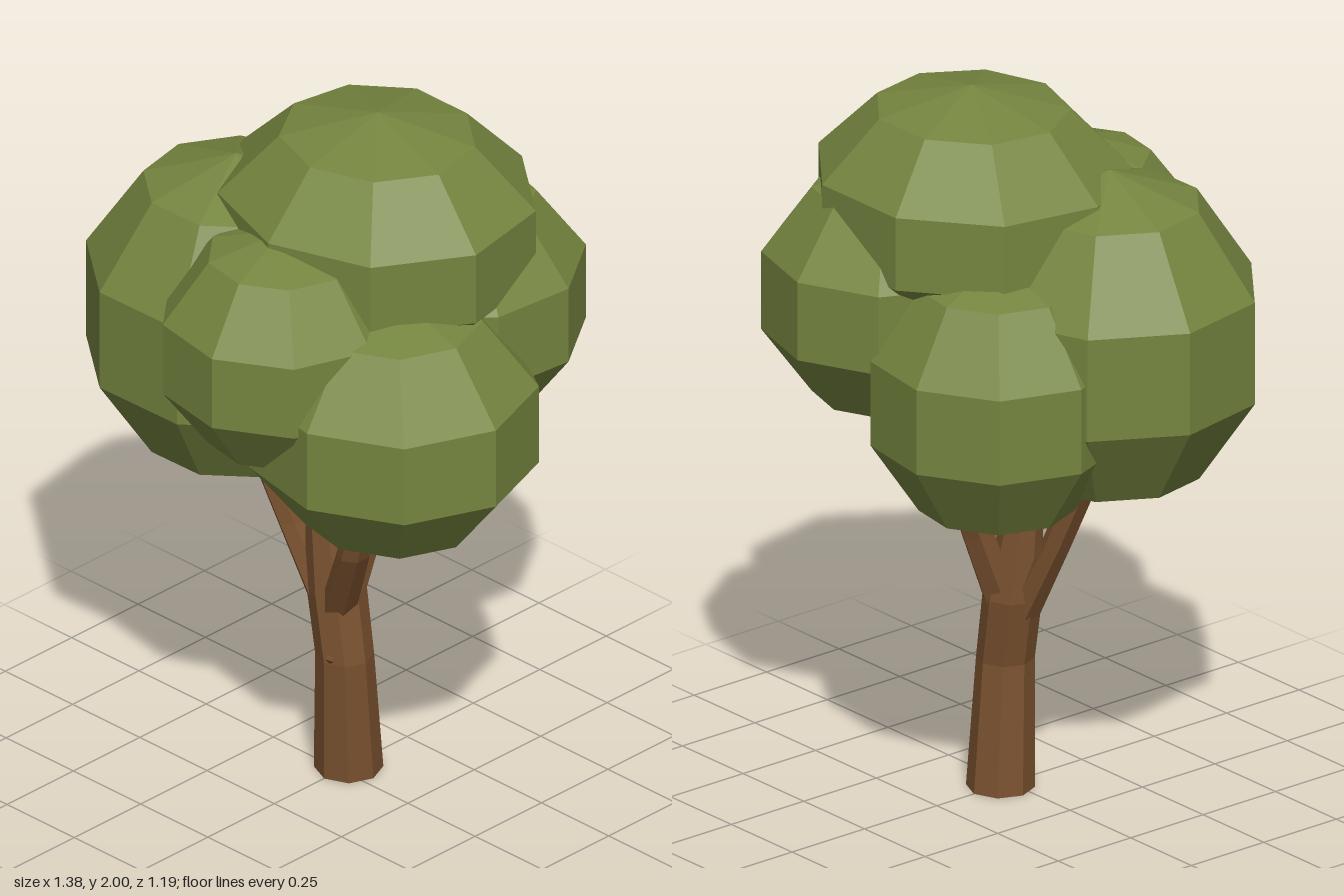
import * as THREE from 'three';

const foliageMat = new THREE.MeshStandardMaterial({ color: 0x75853f, flatShading: true });
foliageMat.name = 'leaf green';
const barkMat = new THREE.MeshStandardMaterial({ color: 0x79512f, flatShading: true });
barkMat.name = 'bark brown';

// Faceted leaf clump: centre, radii and the heading (degrees) of one of its nine corners
function clump(name, [x, y, z], [rx, ry, rz], corner) {
  const geo = new THREE.SphereGeometry(1, 9, 5);
  geo.rotateY(THREE.MathUtils.degToRad(180 - corner));
  geo.scale(rx, ry, rz);
  geo.translate(x, y, z);
  const mesh = new THREE.Mesh(geo, foliageMat);
  mesh.name = name;
  return mesh;
}

// Tapered, bent limb: each station is [x, y, z, radius], from bottom to top
function limb(name, stations, sides) {
  const rows = stations.length - 1;
  const geo = new THREE.CylinderGeometry(1, 1, 1, sides, rows);
  const pos = geo.attributes.position;
  for (let i = 0; i < pos.count; i++) {
    const [x, y, z, r] = stations[Math.round((pos.getY(i) + 0.5) * rows)];
    pos.setXYZ(i, x + pos.getX(i) * r, y, z + pos.getZ(i) * r);
  }
  geo.computeVertexNormals();
  const mesh = new THREE.Mesh(geo, barkMat);
  mesh.name = name;
  return mesh;
}

export function createModel() {
  const tree = new THREE.Group();
  tree.name = 'tree';

  // Crown
  const crown = new THREE.Group();
  crown.name = 'crown';
  crown.add(
    clump('topClump', [0.06, 1.665, -0.08], [0.465, 0.335, 0.435], 10),
    clump('frontClump', [0.05, 1.435, 0.27], [0.345, 0.34, 0.345], 80),
    clump('rightClump', [-0.28, 1.345, 0.11], [0.435, 0.47, 0.42], 29),
    clump('leftClump', [0.29, 1.245, 0.1], [0.42, 0.375, 0.4], 2),
    clump('backLeftClump', [0.18, 1.43, -0.25], [0.365, 0.36, 0.37], 26),
    clump('backRightClump', [-0.21, 1.235, -0.22], [0.36, 0.39, 0.355], 19),
  );

  // Trunk and the limbs that fork from it
  const wood = new THREE.Group();
  wood.name = 'wood';
  wood.add(
    limb('trunk', [
      [0, 0, -0.03, 0.092],
      [0.01, 0.36, -0.005, 0.078],
      [-0.025, 0.55, -0.01, 0.08],
      [-0.05, 0.75, 0.0, 0.058],
      [-0.05, 1.15, 0.0, 0.052],
    ], 8),
    limb('rightBranch', [
      [-0.05, 0.5, 0, 0.05],
      [-0.155, 0.72, 0.03, 0.042],
      [-0.24, 0.93, 0.06, 0.042],
      [-0.27, 1.02, 0.07, 0.04],
    ], 6),
    limb('leftBranch', [
      [0, 0.5, 0.01, 0.05],
      [0.125, 0.74, 0.08, 0.045],
      [0.185, 0.92, 0.1, 0.04],
      [0.21, 1.02, 0.11, 0.038],
    ], 6),
    limb('backBranch', [
      [-0.015, 0.5, -0.02, 0.055],
      [0.005, 0.74, -0.105, 0.048],
      [0.015, 0.95, -0.185, 0.042],
      [0.02, 1.12, -0.22, 0.04],
    ], 6),
  );

  // Small broken twig on the front of the trunk
  const twig = new THREE.Mesh(new THREE.ConeGeometry(0.022, 0.06, 5), barkMat);
  twig.name = 'twigStub';
  twig.rotation.set(1.1, 0, -0.2);
  twig.position.set(0.025, 0.375, 0.065);
  wood.add(twig);

  tree.add(crown, wood);
  return tree;
}
